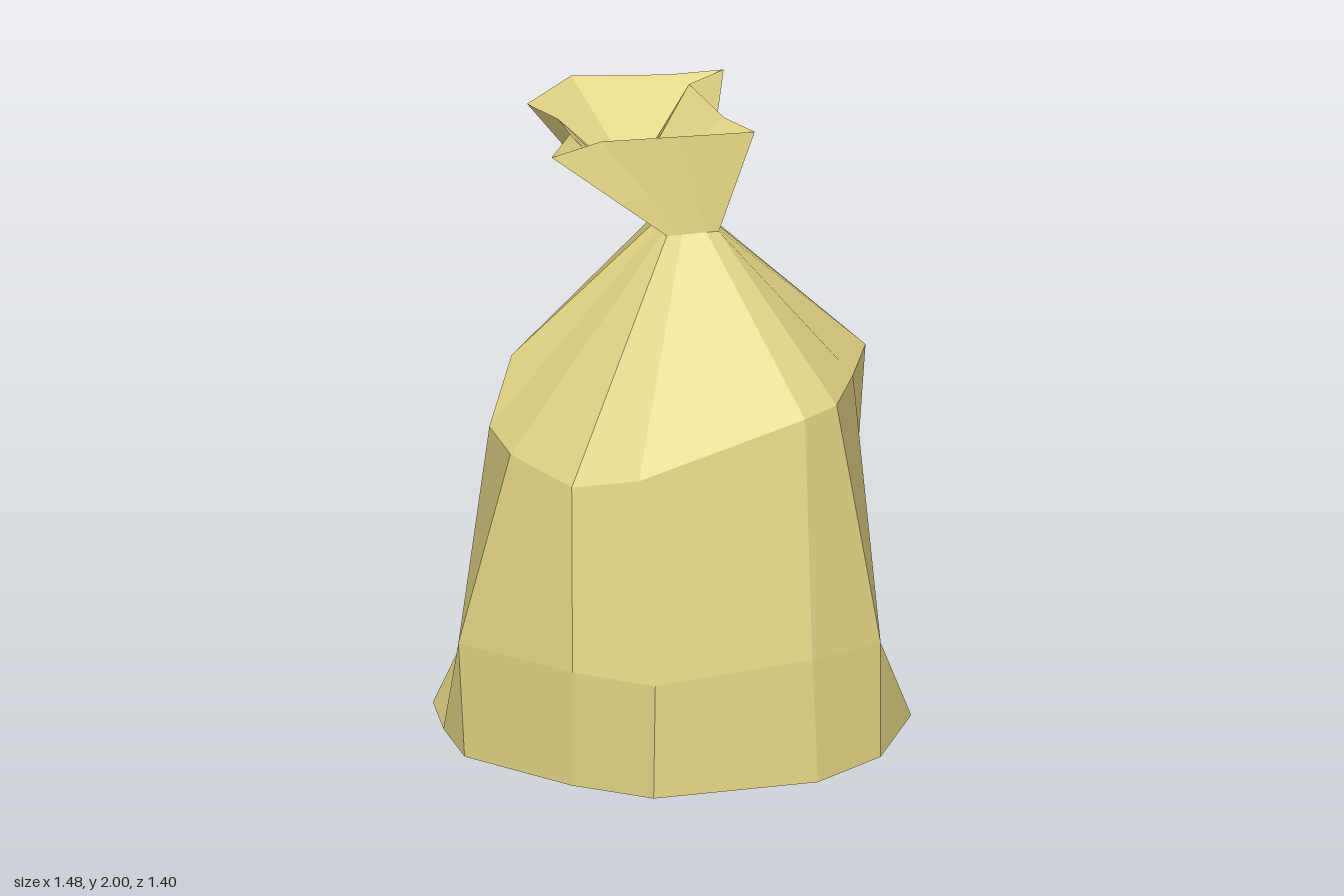
import * as THREE from 'three';

// Cross-sections run from the front, round by +x, the back and -x; each point is [x, y, z].
const bottom = [
  [0.30, 0.015, 0.67], [0.55, 0.015, 0.50], [0.74, 0.015, 0.16], [0.74, 0.015, -0.10], [0.55, 0.015, -0.43],
  [0.30, 0.015, -0.70], [-0.24, 0.015, -0.62], [-0.41, 0.01, -0.45], [-0.68, 0, -0.38], [-0.72, 0.015, -0.10],
  [-0.72, 0.015, 0.16], [-0.46, 0.015, 0.50], [-0.24, 0.015, 0.68],
];
const belly = [
  [0.30, 0.4, 0.60], [0.55, 0.4, 0.50], [0.53, 0.4, 0.16], [0.55, 0.4, -0.10], [0.55, 0.4, -0.42],
  [0.30, 0.4, -0.58], [-0.24, 0.4, -0.62], [-0.41, 0.4, -0.45], [-0.48, 0.4, -0.38], [-0.57, 0.4, -0.10],
  [-0.74, 0.4, 0.16], [-0.46, 0.4, 0.51], [-0.24, 0.4, 0.70],
];
const shoulder = [
  [0.30, 1.18, 0.51], [0.43, 1.18, 0.41], [0.55, 1.18, 0.16], [0.66, 1.18, -0.10], [0.45, 1.18, -0.56],
  [0.07, 1.17, -0.58], [-0.24, 1.04, -0.51], [-0.39, 1.04, -0.42], [-0.46, 1.20, -0.24], [-0.57, 1.02, -0.10],
  [-0.57, 1.02, 0.16], [-0.46, 1.02, 0.50], [-0.24, 1.02, 0.50],
];

// The rings above the shoulder lie level, so they are given as [x, z]
const level = (y, points) => points.map(([x, z]) => [x, y, z]);
const neck = level(1.68, [
  [0.09, 0.09], [0.13, 0.09], [0.13, 0.04], [0.13, -0.04], [0.13, -0.09], [0.06, -0.09], [0, -0.09],
  [-0.04, -0.09], [-0.04, -0.05], [-0.04, 0], [-0.04, 0.05], [-0.04, 0.09], [0.01, 0.09],
]);
const rim = level(2, [
  [0, 0.06], [0.25, 0.08], [0.19, -0.07], [0.16, -0.39], [0.30, -0.49], [0.12, -0.49], [-0.18, -0.56],
  [-0.38, -0.35], [-0.32, -0.19], [-0.32, -0.05], [-0.36, 0.02], [-0.43, 0.14], [-0.24, 0.04],
]);
const pocket = level(1.81, [
  [-0.05, -0.05], [-0.03, -0.05], [-0.03, -0.10], [-0.03, -0.22], [-0.03, -0.25], [-0.06, -0.26], [-0.09, -0.24],
  [-0.13, -0.20], [-0.145, -0.17], [-0.145, -0.11], [-0.145, -0.08], [-0.145, -0.05], [-0.10, -0.05],
]);

// Outside of the mouth: straight pleats, sagging outwards at the back
const pleats = neck.map((n, i) => n.map((v, k) => v + (rim[i][k] - v) * 0.41));
pleats[5] = [0.08, 1.81, -0.29];
pleats[6] = [-0.14, 1.81, -0.39];
pleats[7] = [-0.23, 1.81, -0.33];
pleats[8] = [-0.20, 1.81, -0.22];

// Skin of quads between successive rings, one flat shade to each quad, split along its outer diagonal
function loft(rings) {
  const positions = [], normals = [];
  for (let r = 0; r < rings.length - 1; r++) {
    const lo = rings[r], hi = rings[r + 1];
    for (let i = 0; i < lo.length; i++) {
      const j = (i + 1) % lo.length;
      const [a, b, c, d] = [lo[i], lo[j], hi[j], hi[i]].map(q => new THREE.Vector3(...q));
      const n = c.clone().sub(a).cross(d.clone().sub(b)).normalize();
      const bulge = a.clone().add(c).sub(b).sub(d).dot(n);
      for (const v of bulge > 0 ? [a, b, c, a, c, d] : [a, b, d, b, c, d]) {
        positions.push(v.x, v.y, v.z);
        normals.push(n.x, n.y, n.z);
      }
    }
  }
  const g = new THREE.BufferGeometry();
  g.setAttribute('position', new THREE.Float32BufferAttribute(positions, 3));
  g.setAttribute('normal', new THREE.Float32BufferAttribute(normals, 3));
  return g;
}

// Fan that closes a ring, facing up or down
function cap(ring, up) {
  const c = [0, 1, 2].map(k => ring.reduce((s, q) => s + q[k], 0) / ring.length);
  const p = [];
  ring.forEach((a, i) => {
    const b = ring[(i + 1) % ring.length];
    p.push(...c, ...(up ? a : b), ...(up ? b : a));
  });
  const g = new THREE.BufferGeometry();
  g.setAttribute('position', new THREE.Float32BufferAttribute(p, 3));
  g.computeVertexNormals();
  return g;
}

export function createModel() {
  const cloth = new THREE.MeshStandardMaterial({ color: 0xe2d484, side: THREE.DoubleSide });
  cloth.name = 'straw cloth';

  const sack = new THREE.Group();
  sack.name = 'sack';
  const add = (name, geometry) => {
    const mesh = new THREE.Mesh(geometry, cloth);
    mesh.name = name;
    sack.add(mesh);
  };

  add('base', cap(bottom, false));
  add('body', loft([bottom, belly, shoulder]));
  add('gatheredTop', loft([shoulder, neck]));
  add('mouthOutside', loft([neck, pleats, rim]));
  add('mouthInside', loft([rim, pocket]));
  add('mouthFloor', cap(pocket, true));
  return sack;
}
